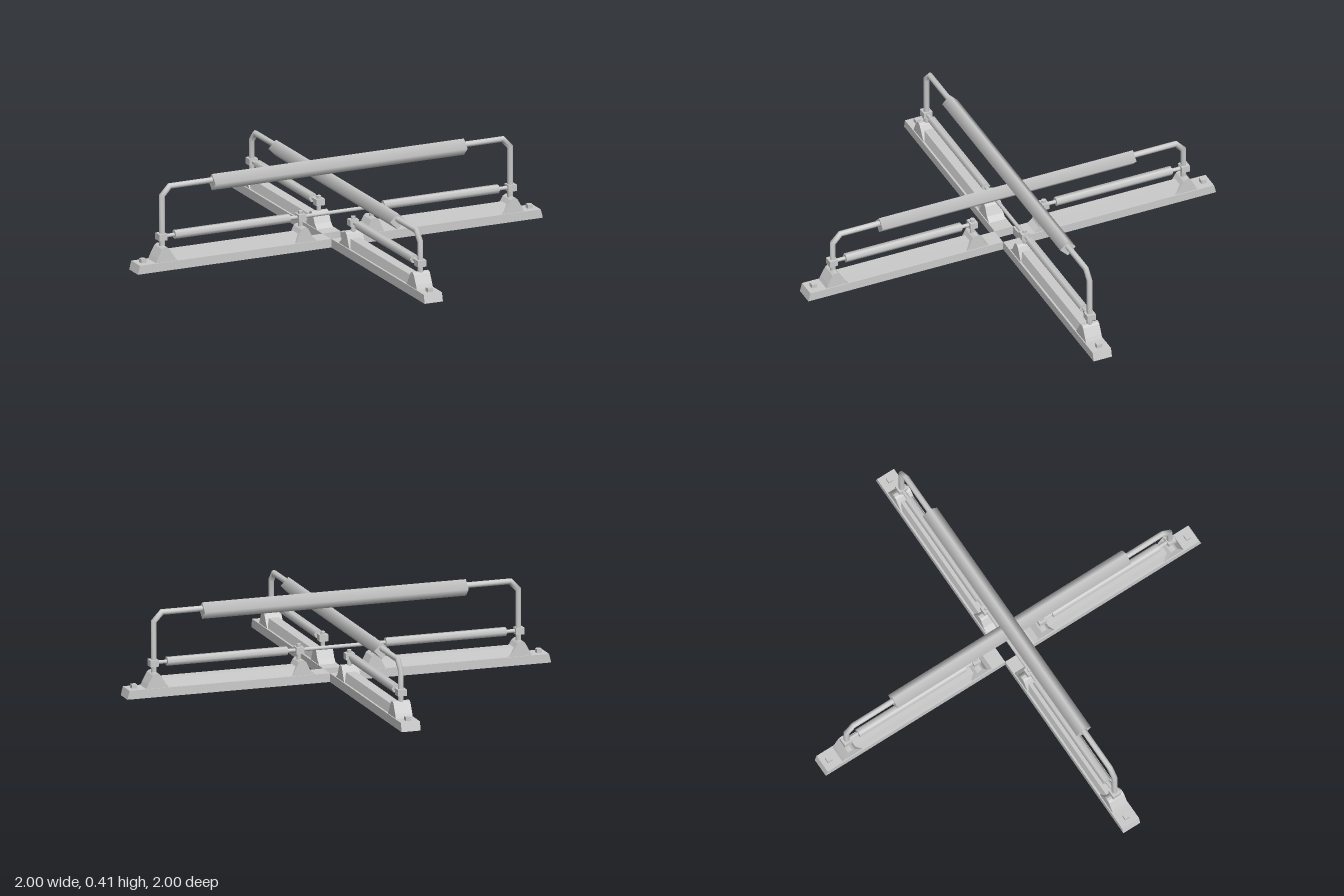
import * as THREE from 'three';

const flat = new THREE.MeshStandardMaterial({ color: 0xcccccc, flatShading: true });
const smooth = new THREE.MeshStandardMaterial({ color: 0xcccccc });

function add(parent, name, geometry, material = flat) {
  const mesh = new THREE.Mesh(geometry, material);
  mesh.name = name;
  parent.add(mesh);
  return mesh;
}

const box = (w, h, d, x, y) => new THREE.BoxGeometry(w, h, d).translate(x, y, 0);

// Side profile in x/y, extruded symmetrically across z
function slab(points, width) {
  const shape = new THREE.Shape(points.map(([x, y]) => new THREE.Vector2(x, y)));
  return new THREE.ExtrudeGeometry(shape, { depth: width, bevelEnabled: false }).translate(0, 0, -width / 2);
}

// Cylinder lying along x from a to b
function rod(a, b, y, r, sides) {
  return new THREE.CylinderGeometry(r, r, b - a, sides).rotateZ(-Math.PI / 2).translate((a + b) / 2, y, 0);
}

// Pipe through points in the x/y plane with mitred corners
function mitredPipe(points, r, sides) {
  const pts = points.map(([x, y]) => new THREE.Vector2(x, y));
  const pos = [], index = [];
  pts.forEach((p, i) => {
    const into = p.clone().sub(pts[Math.max(i - 1, 0)]).normalize();
    const out = pts[Math.min(i + 1, pts.length - 1)].clone().sub(p).normalize();
    const t = into.clone().add(out).normalize();
    const stretch = 1 / t.dot(into.lengthSq() ? into : out);
    for (let k = 0; k < sides; k++) {
      const a = (k / sides) * Math.PI * 2;
      const n = Math.cos(a) * r * stretch;
      pos.push(p.x - t.y * n, p.y + t.x * n, Math.sin(a) * r);
      if (i < pts.length - 1) {
        const c = i * sides + k, d = i * sides + (k + 1) % sides;
        index.push(c, d, c + sides, d, d + sides, c + sides);
      }
    }
  });
  const g = new THREE.BufferGeometry();
  g.setAttribute('position', new THREE.Float32BufferAttribute(pos, 3));
  g.setIndex(index);
  g.computeVertexNormals();
  return g;
}

// One arm of the cross, pointing to +x
function makeArm() {
  const arm = new THREE.Group();
  add(arm, 'baseSlab', slab([[0.045, 0], [1, 0], [0.99, 0.04], [0.045, 0.04]], 0.09));

  // Ridge with sloping sides between the two humps
  const ridge = slab([[-0.036, 0.038], [0.036, 0.038], [0.024, 0.08], [-0.024, 0.08]], 0.68);
  add(arm, 'ridge', ridge.rotateY(Math.PI / 2).translate(0.51, 0, 0));

  // Humps carrying the roller posts
  add(arm, 'outerHump', slab([[0.91, 0.038], [0.9, 0.06], [0.878, 0.1], [0.868, 0.108],
    [0.855, 0.108], [0.843, 0.1], [0.815, 0.055], [0.8, 0.038]], 0.08));
  add(arm, 'innerHump', slab([[0.22, 0.038], [0.205, 0.07], [0.19, 0.1], [0.18, 0.108],
    [0.165, 0.108], [0.155, 0.1], [0.135, 0.06], [0.11, 0.038]], 0.08));
  add(arm, 'anchorBolt', box(0.024, 0.02, 0.026, 0.955, 0.048));

  // Lower roller with its spindle, clamps and inner post
  add(arm, 'innerPost', new THREE.CylinderGeometry(0.011, 0.011, 0.08, 8).translate(0.175, 0.136, 0), smooth);
  add(arm, 'innerClamp', box(0.036, 0.03, 0.042, 0.175, 0.148));
  add(arm, 'outerClamp', box(0.04, 0.03, 0.042, 0.863, 0.148));
  add(arm, 'lowerSpindle', rod(0.175, 0.86, 0.148, 0.009, 8), smooth);
  add(arm, 'lowerRoller', rod(0.232, 0.8, 0.149, 0.021, 6), smooth);
  return arm;
}

// Tall bent frame carrying the main roller along x
function makeUpperFrame(height) {
  const frame = new THREE.Group();
  for (const side of [1, -1]) {
    const bend = [[0.86, 0.1], [0.86, height - 0.03], [0.822, height + 0.01], [0.58, height + 0.01]];
    const pipe = add(frame, 'bentPipe', mitredPipe(bend, 0.0135, 8), smooth);
    if (side < 0) pipe.rotation.y = Math.PI;
  }
  add(frame, 'mainRoller', rod(-0.613, 0.632, height, 0.038, 4), smooth);
  return frame;
}

export function createModel() {
  const model = new THREE.Group();
  model.name = 'crossRollerStand';

  for (let i = 0; i < 4; i++) {
    const arm = makeArm();
    arm.name = 'arm';
    arm.rotation.y = (i * Math.PI) / 2;
    model.add(arm);
  }

  const highFrame = makeUpperFrame(0.367);
  highFrame.name = 'highFrame';
  const lowFrame = makeUpperFrame(0.277);
  lowFrame.name = 'lowFrame';
  lowFrame.rotation.y = -Math.PI / 2;
  model.add(highFrame, lowFrame);

  // Spindle joining the two lower rollers across the centre
  add(model, 'centreSpindle', rod(-0.18, 0.18, 0.148, 0.009, 8), smooth);
  return model;
}
